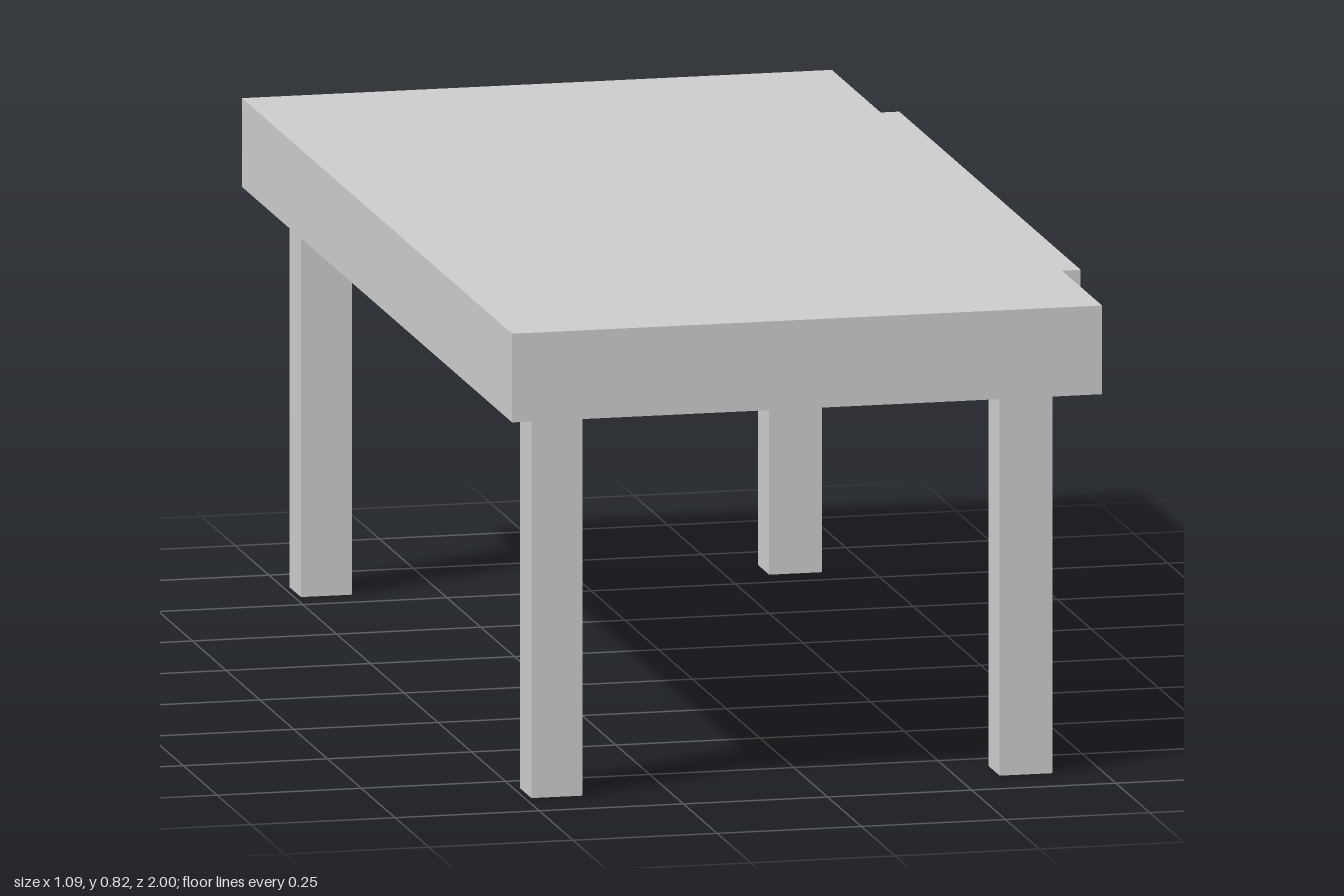
import * as THREE from 'three';

const material = new THREE.MeshStandardMaterial({ color: 0xcccccc, flatShading: true });

// Box given by its lower and upper bounds on each axis
function box(name, [x0, x1], [y0, y1], [z0, z1]) {
  const geometry = new THREE.BoxGeometry(x1 - x0, y1 - y0, z1 - z0);
  geometry.translate((x0 + x1) / 2, (y0 + y1) / 2, (z0 + z1) / 2);
  const mesh = new THREE.Mesh(geometry, material);
  mesh.name = name;
  return mesh;
}

export function createModel() {
  const table = new THREE.Group();
  table.name = 'table';

  // Thick slab top
  table.add(box('tableTop', [-0.547, 0.476], [0.672, 0.825], [-1, 1]));

  // Four square legs
  for (const [side, xs] of [['Right', [-0.489, -0.4]], ['Left', [0.323, 0.415]]]) {
    table.add(box('front' + side + 'Leg', xs, [0, 0.672], [0.811, 0.895]));
    table.add(box('back' + side + 'Leg', xs, [0, 0.672], [-0.895, -0.811]));
  }

  // Drawer front on the long side
  table.add(box('drawerFront', [0.476, 0.517], [0.681, 0.817], [-0.676, 0.667]));

  // Handle, tapering slightly in height away from the drawer
  const handle = box('drawerHandle', [0.517, 0.546], [0.736, 0.762], [-0.068, 0.058]);
  const p = handle.geometry.attributes.position;
  for (let i = 0; i < p.count; i++) {
    if (p.getX(i) > 0.53) p.setY(i, 0.749 + (p.getY(i) - 0.749) * 0.7);
  }
  handle.geometry.computeVertexNormals();
  table.add(handle);

  return table;
}
